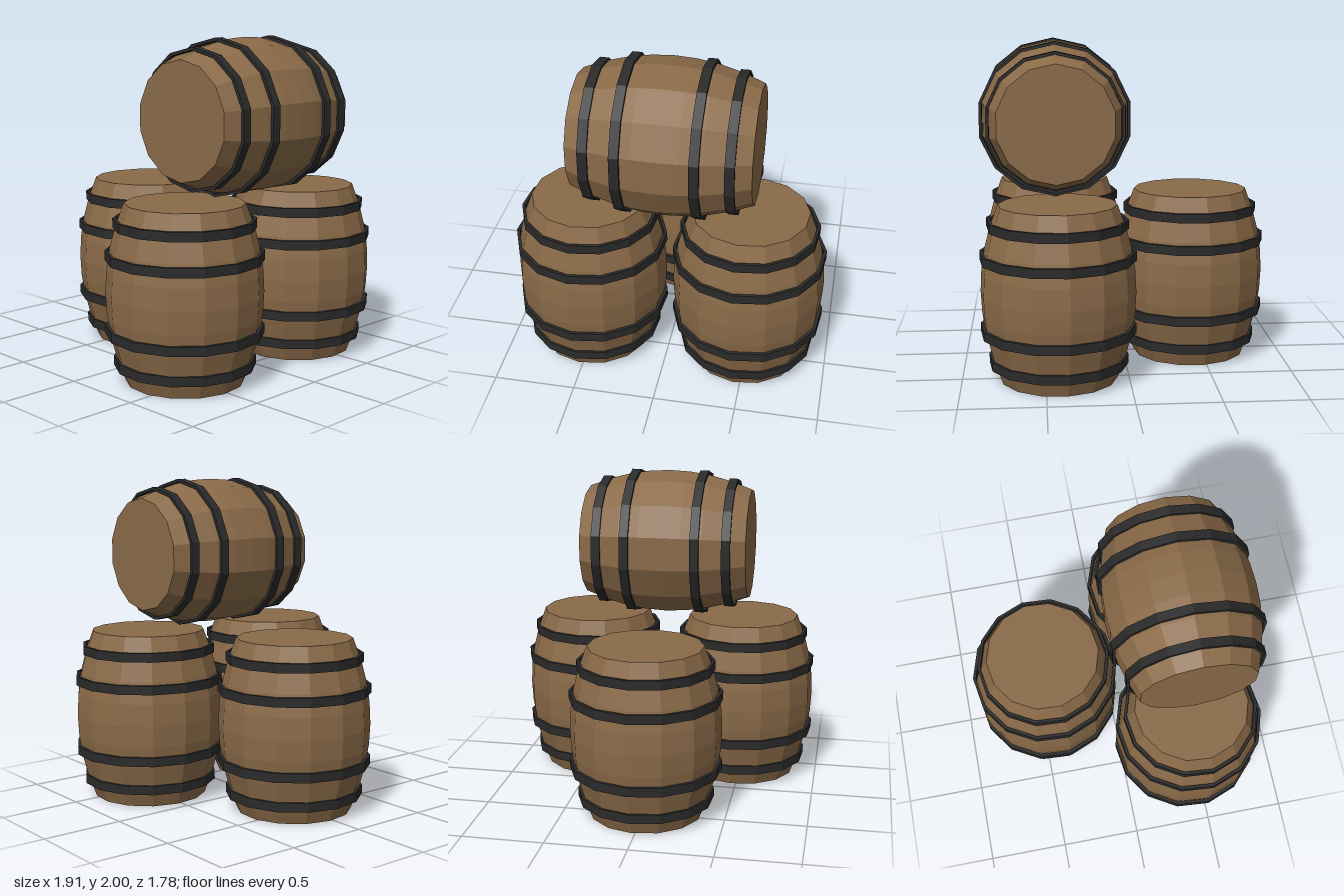
import * as THREE from 'three';

const SIDES = 14;
const HALF = 0.53; // half the barrel length
const wood = new THREE.MeshStandardMaterial({ color: 0x8a6a48, flatShading: true });
const iron = new THREE.MeshStandardMaterial({ color: 0x2a2a2a, flatShading: true });

// Radius of the bulging staves at a distance from the middle
const bulge = (y) => 0.353 + 0.112 * (1 - (y / HALF) ** 2);

// Bulging body closed by flat ends
function bodyGeometry() {
  const points = [new THREE.Vector2(0, -HALF)];
  const steps = 8;
  for (let i = 0; i <= steps; i++) {
    const y = -HALF + (2 * HALF * i) / steps;
    points.push(new THREE.Vector2(bulge(y), y));
  }
  points.push(new THREE.Vector2(0, HALF));
  return new THREE.LatheGeometry(points, SIDES);
}

// Flat iron band with a rectangular section
function hoopGeometry(y) {
  const outer = bulge(y) + 0.022;
  const inner = outer - 0.019;
  const h = 0.028;
  const section = [[inner, -h], [outer, -h], [outer, h], [inner, h], [inner, -h]];
  return new THREE.LatheGeometry(section.map(([r, dy]) => new THREE.Vector2(r, y + dy)), SIDES);
}

const body = bodyGeometry();
const hoops = [-0.412, -0.222, 0.222, 0.412].map(hoopGeometry);

function makeBarrel(name) {
  const barrel = new THREE.Group();
  barrel.name = name;
  const staves = new THREE.Mesh(body, wood);
  staves.name = 'barrelBody';
  barrel.add(staves);
  hoops.forEach((geometry, i) => {
    const hoop = new THREE.Mesh(geometry, iron);
    hoop.name = `hoop${i + 1}`;
    barrel.add(hoop);
  });
  return barrel;
}

export function createModel() {
  const model = new THREE.Group();
  model.name = 'barrelStack';

  // Three standing barrels, each turned a little: name, x, z, turn
  const standing = [
    ['frontRightBarrel', -0.496, 0.42, -0.08],
    ['frontLeftBarrel', 0.49, 0.42, -0.1],
    ['backBarrel', 0, -0.427, -0.06],
  ];
  for (const [name, x, z, turn] of standing) {
    const barrel = makeBarrel(name);
    barrel.position.set(x, HALF, z);
    barrel.rotation.y = turn;
    model.add(barrel);
  }

  // Barrel lying across the front pair, an edge pointing straight up
  const lying = makeBarrel('lyingBarrel');
  lying.position.set(-0.003, 1.53, 0.425);
  lying.rotation.set(0, Math.PI / 2, Math.PI / 2, 'ZYX');
  model.add(lying);

  return model;
}
